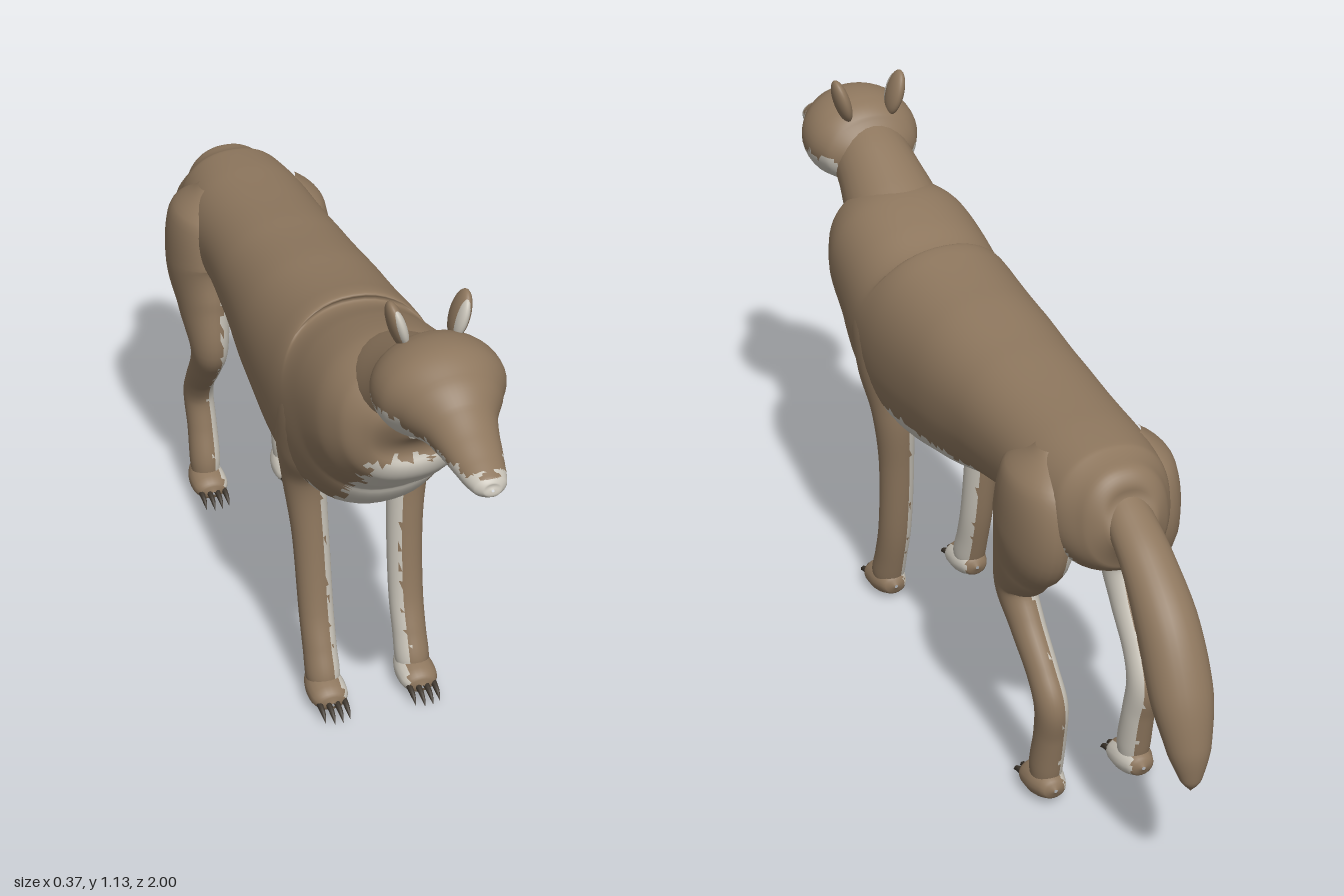
import * as THREE from 'three';

const fur = new THREE.MeshStandardMaterial({ color: 0x8e775e });
fur.name = 'brown fur';
const pale = new THREE.MeshStandardMaterial({ color: 0xc9c4b9 });
pale.name = 'pale fur';
const horn = new THREE.MeshStandardMaterial({ color: 0x40382f });
horn.name = 'dark claw';

// Skin over sections [x, y, z, half width, half depth]; isPale(centre, normal) picks the fur colour of a face.
function loft(name, sections, { steps = 48, sides = 28, power = 1, isPale = () => false, base = fur } = {}) {
  const path = new THREE.CatmullRomCurve3(sections.map(s => new THREE.Vector3(s[0], s[1], s[2])));
  const size = new THREE.CatmullRomCurve3(sections.map(s => new THREE.Vector3(s[3], s[4], 0)), false, 'catmullrom', 0.4);
  const X = new THREE.Vector3(1, 0, 0);
  const points = [];
  const bend = c => Math.sign(c) * Math.abs(c) ** power;
  for (let i = 0; i <= steps; i++) {
    const t = i / steps, c = path.getPoint(t), r = size.getPoint(t);
    const v = path.getTangent(t).cross(X).normalize();
    for (let j = 0; j < sides; j++) {
      const a = j / sides * Math.PI * 2;
      points.push(c.clone().addScaledVector(X, bend(Math.cos(a)) * Math.max(r.x, 0.0005))
        .addScaledVector(v, bend(Math.sin(a)) * Math.max(r.y, 0.0005)));
    }
  }
  const lists = [[], []];
  const face = new THREE.Triangle(), mid = new THREE.Vector3(), n = new THREE.Vector3();
  const add = (a, b, c) => {
    face.set(points[a], points[b], points[c]);
    face.getMidpoint(mid);
    face.getNormal(n);
    lists[isPale(mid, n) ? 1 : 0].push(a, b, c);
  };
  for (let i = 0; i < steps; i++) {
    for (let j = 0; j < sides; j++) {
      const k = (j + 1) % sides, a = i * sides + j, b = i * sides + k;
      add(a, b, a + sides);
      add(b, b + sides, a + sides);
    }
  }
  const geo = new THREE.BufferGeometry().setFromPoints(points);
  geo.setIndex([...lists[0], ...lists[1]]);
  geo.addGroup(0, lists[0].length, 0);
  geo.addGroup(lists[0].length, lists[1].length, 1);
  geo.computeVertexNormals();
  const mesh = new THREE.Mesh(geo, [base, pale]);
  mesh.name = name;
  return mesh;
}

// Section along the body, given as z, top, bottom and half width
const slice = ([z, top, bottom, w]) => [0, (top + bottom) / 2, z, w, (top - bottom) / 2];
// Ragged edge for the fur markings
const ragged = a => 0.008 * Math.sin(a * 130) + 0.006 * Math.sin(a * 311);

function ellipsoid(name, x, y, z, rx, ry, rz, material) {
  const mesh = new THREE.Mesh(new THREE.SphereGeometry(1, 24, 16), material);
  mesh.name = name;
  mesh.position.set(x, y, z);
  mesh.scale.set(rx, ry, rz);
  return mesh;
}

// Paw with four curved claws
function paw(name, s, z) {
  const g = new THREE.Group();
  g.name = name;
  g.add(loft('pad', [
    [s * 0.1, 0.045, z - 0.062, 0.004, 0.004], [s * 0.1, 0.045, z - 0.05, 0.028, 0.024],
    [s * 0.1, 0.042, z - 0.01, 0.041, 0.036], [s * 0.1, 0.037, z + 0.03, 0.041, 0.03],
    [s * 0.1, 0.033, z + 0.05, 0.03, 0.02], [s * 0.1, 0.032, z + 0.058, 0.004, 0.004],
  ], { steps: 20, sides: 20, isPale: (p, n) => n.x * s < -0.55 }));
  for (let i = 0; i < 4; i++) {
    const x = s * 0.1 + (i - 1.5) * 0.018;
    const reach = z + (i === 1 || i === 2 ? 0.004 : -0.004);
    g.add(loft('claw', [
      [x, 0.03, reach + 0.03, 0.007, 0.007], [x, 0.031, reach + 0.055, 0.0065, 0.008],
      [x, 0.024, reach + 0.076, 0.005, 0.006], [x, 0.011, reach + 0.092, 0.0005, 0.0005],
    ], { steps: 8, sides: 8, base: horn }));
  }
  return g;
}

export function createModel() {
  const model = new THREE.Group();
  model.name = 'animal';

  // Torso with pale belly and chest bib
  model.add(loft('torso', [
    [-0.7, 0.75, 0.72, 0.01], [-0.69, 0.79, 0.67, 0.055], [-0.66, 0.83, 0.62, 0.092],
    [-0.6, 0.843, 0.585, 0.125], [-0.48, 0.85, 0.58, 0.142], [-0.35, 0.855, 0.595, 0.143],
    [-0.2, 0.868, 0.57, 0.152], [0, 0.888, 0.51, 0.168], [0.2, 0.907, 0.468, 0.178],
    [0.3, 0.915, 0.49, 0.178], [0.39, 0.93, 0.575, 0.172], [0.48, 0.948, 0.63, 0.164],
    [0.55, 0.935, 0.675, 0.14], [0.595, 0.89, 0.73, 0.095], [0.61, 0.82, 0.79, 0.02],
  ].map(slice), {
    steps: 110, sides: 56, power: 0.9,
    isPale: (p, n) => p.z > 0.36
      ? Math.abs(p.x) < 0.09 + ragged(p.y) && p.y < 0.735 + ragged(p.x)
      : p.z > -0.62 && n.y < 0.1 && p.y < 0.585 - 0.1 * p.z + ragged(p.z),
  }));

  // Neck
  model.add(loft('neck', [
    [0, 0.8, 0.38, 0.1, 0.1], [0, 0.865, 0.51, 0.105, 0.1],
    [0, 0.925, 0.61, 0.09, 0.088], [0, 0.965, 0.7, 0.08, 0.08],
  ]));

  // Head with pale jaw and cheeks
  model.add(loft('head', [
    [0.59, 0.975, 0.945, 0.015], [0.605, 1.005, 0.915, 0.068], [0.64, 1.04, 0.88, 0.108],
    [0.69, 1.068, 0.868, 0.128], [0.74, 1.075, 0.872, 0.126], [0.79, 1.05, 0.882, 0.1],
    [0.84, 1.012, 0.888, 0.07], [0.9, 0.977, 0.889, 0.055], [0.95, 0.952, 0.887, 0.044],
    [0.985, 0.936, 0.89, 0.033], [0.998, 0.925, 0.899, 0.018], [1, 0.915, 0.91, 0.003],
  ].map(slice), {
    steps: 88, sides: 48,
    isPale: p => p.z > 0.62 && p.y < (p.z < 0.78 ? 0.955 : 0.932) + ragged(p.z) * 0.7,
  }));

  // Tail
  model.add(loft('tail', [
    [0, 0.76, -0.62, 0.04, 0.035], [0, 0.72, -0.69, 0.05, 0.042], [0, 0.675, -0.76, 0.054, 0.048],
    [0, 0.585, -0.85, 0.062, 0.06], [0, 0.47, -0.915, 0.063, 0.058], [0, 0.37, -0.953, 0.045, 0.042],
    [0, 0.305, -0.967, 0.022, 0.02], [0, 0.28, -0.967, 0.002, 0.002],
  ]));

  for (const s of [1, -1]) {
    const side = s > 0 ? 'left' : 'right';
    const inner = (p, n) => n.x * s < -0.45 + ragged(p.y) * 8;

    // Ears with a pale hollow facing forward
    const ear = new THREE.Group();
    ear.name = side + 'Ear';
    ear.position.set(s * 0.063, 1.082, 0.652);
    ear.rotation.z = -s * 0.28;
    ear.add(ellipsoid('earShell', 0, 0, 0, 0.017, 0.052, 0.032, fur));
    ear.add(ellipsoid('earHollow', -s * 0.002, 0, 0.013, 0.0125, 0.042, 0.0225, pale));
    model.add(ear);

    // Front leg
    model.add(loft(side + 'FrontLeg', [
      [s * 0.115, 0.82, 0.33, 0.02, 0.04], [s * 0.125, 0.74, 0.31, 0.05, 0.095],
      [s * 0.128, 0.62, 0.275, 0.05, 0.075], [s * 0.115, 0.52, 0.252, 0.046, 0.048],
      [s * 0.104, 0.38, 0.262, 0.039, 0.038], [s * 0.1, 0.2, 0.288, 0.037, 0.035],
      [s * 0.1, 0.12, 0.312, 0.036, 0.037], [s * 0.1, 0.06, 0.333, 0.036, 0.038],
      [s * 0.1, 0.03, 0.338, 0.02, 0.02],
    ], { steps: 64, isPale: inner }));
    model.add(paw(side + 'FrontPaw', s, 0.346));

    // Hind leg
    model.add(loft(side + 'HindLeg', [
      [s * 0.09, 0.815, -0.49, 0.02, 0.03], [s * 0.105, 0.755, -0.49, 0.066, 0.11],
      [s * 0.114, 0.64, -0.485, 0.07, 0.128], [s * 0.117, 0.55, -0.445, 0.056, 0.095],
      [s * 0.118, 0.46, -0.41, 0.042, 0.056], [s * 0.113, 0.39, -0.452, 0.036, 0.042],
      [s * 0.108, 0.31, -0.52, 0.033, 0.037], [s * 0.104, 0.25, -0.553, 0.034, 0.04],
      [s * 0.1, 0.17, -0.542, 0.034, 0.036], [s * 0.1, 0.09, -0.525, 0.035, 0.038],
      [s * 0.1, 0.04, -0.52, 0.03, 0.032],
    ], { steps: 72, isPale: inner }));
    model.add(paw(side + 'HindPaw', s, -0.512));
  }
  return model;
}
